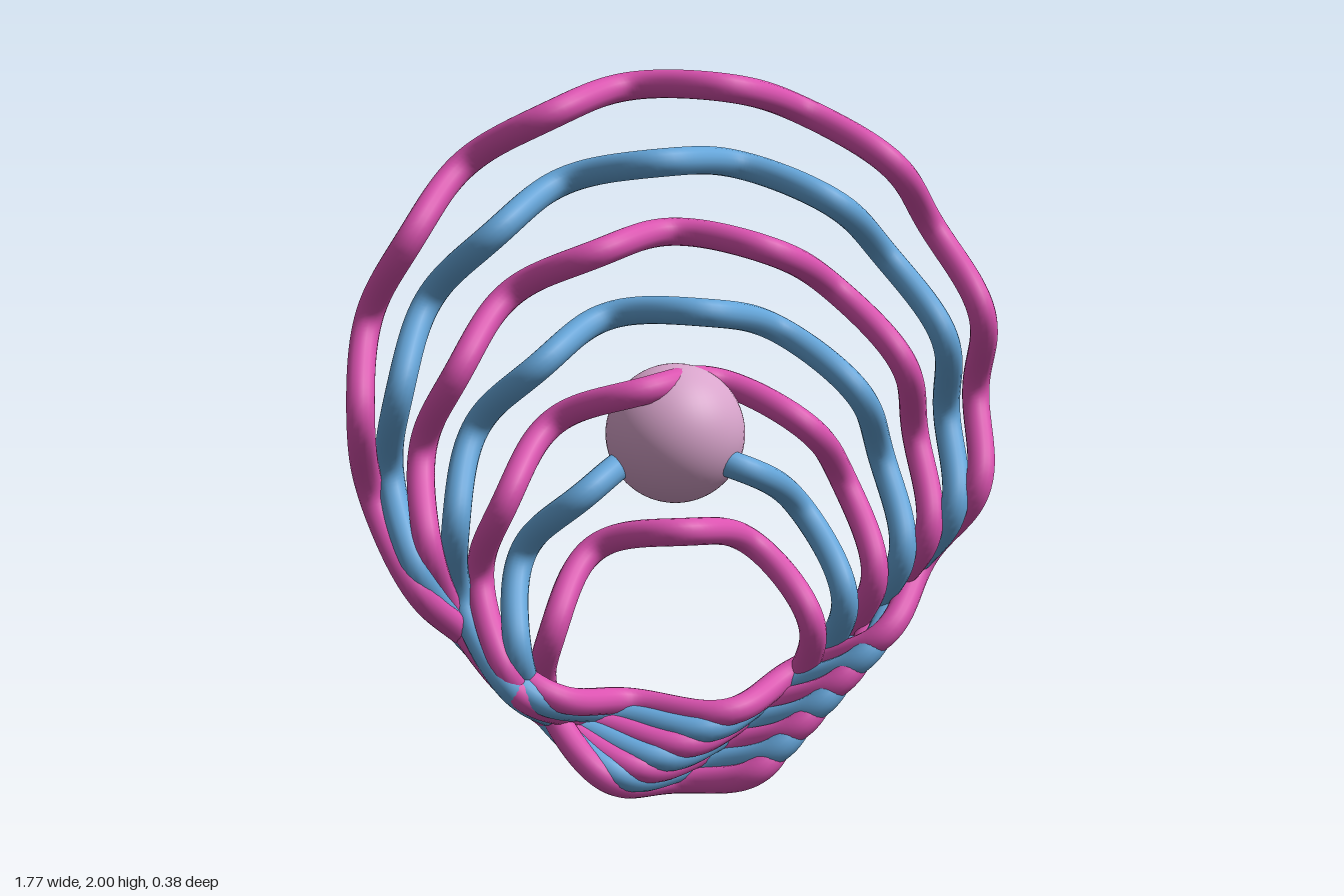
import * as THREE from 'three';

const pink = new THREE.MeshStandardMaterial({ color: 0xdb52b0 });
pink.name = 'pink';
const blue = new THREE.MeshStandardMaterial({ color: 0x64a5d9 });
blue.name = 'blue';
const paleMauve = new THREE.MeshStandardMaterial({ color: 0xd8a4cb });
paleMauve.name = 'paleMauve';

const TUBE = 0.0375;

// Circle in the xy plane that waves back and forth in z
class WavyCircle extends THREE.Curve {
  constructor(radius, centreY, waves, phase) {
    super();
    Object.assign(this, { radius, centreY, waves, phase });
  }

  getPoint(t, target = new THREE.Vector3()) {
    const a = t * Math.PI * 2;
    return target.set(
      this.radius * Math.cos(a),
      this.centreY + this.radius * Math.sin(a),
      0.042 + 0.076 * Math.sin(this.waves * a + this.phase)
    );
  }
}

export function createModel() {
  const group = new THREE.Group();
  group.name = 'wavyRingsWithBall';

  // Seven rings, each larger, higher and with one more wave than the last
  for (let i = 0; i < 7; i++) {
    const curve = new WavyCircle(0.37 + 0.08 * i, 0.4075 + 0.1175 * i, 5 + i, i * Math.PI / 4);
    curve.arcLengthDivisions = 800;
    const ring = new THREE.Mesh(
      new THREE.TubeGeometry(curve, 200 + 30 * i, TUBE, 16, true),
      i % 2 ? blue : pink
    );
    ring.name = 'ring' + (i + 1);
    group.add(ring);
  }

  // Ball in the middle
  const ball = new THREE.Mesh(new THREE.SphereGeometry(0.189, 48, 32), paleMauve);
  ball.name = 'ball';
  ball.position.y = 1.0255;
  group.add(ball);

  return group;
}
